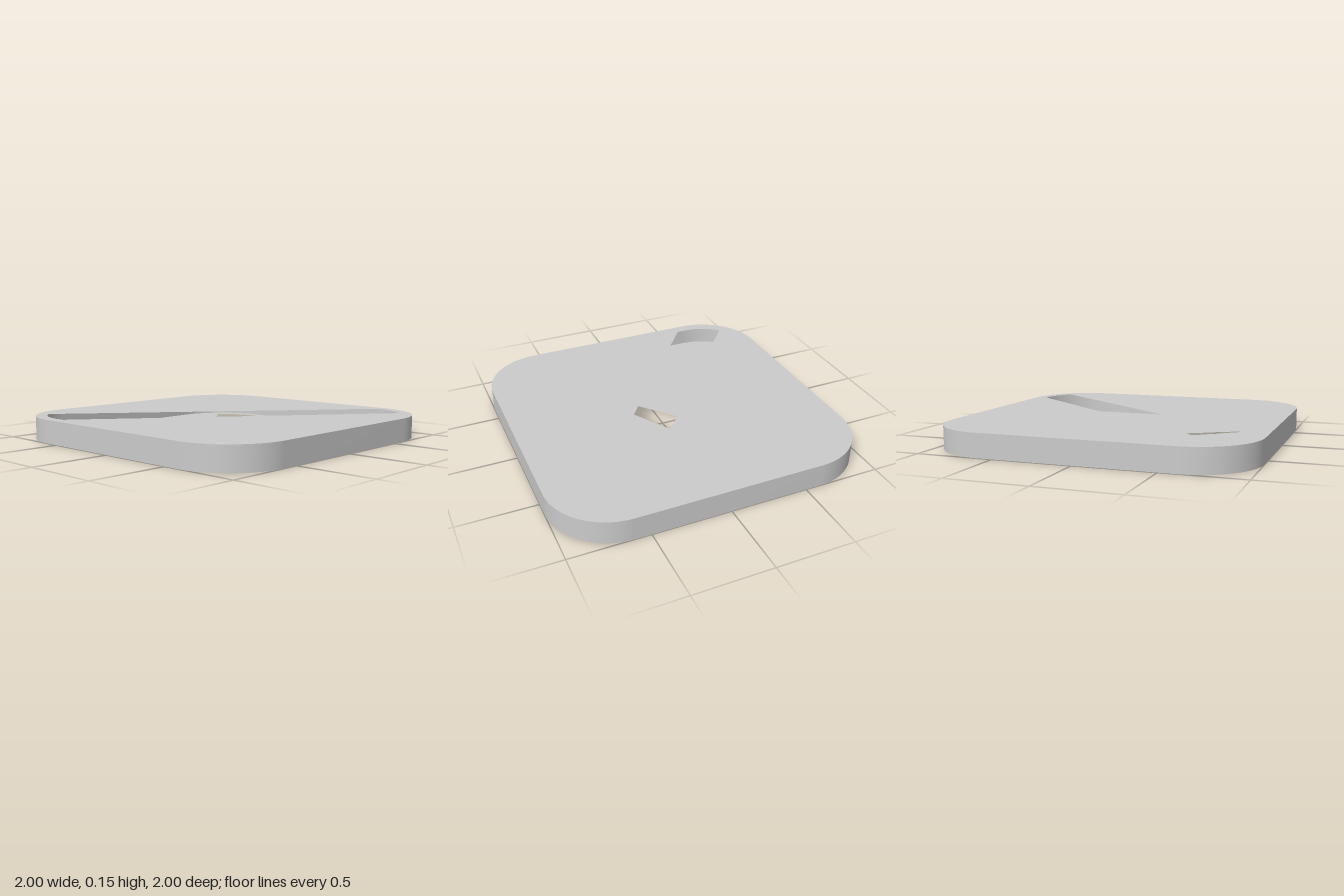
import * as THREE from 'three';

const H = 0.15;       // plate height
const R = 0.4;        // outer corner radius
const C = 1 - R;      // corner centre offset
const r = R - 0.075;  // radius of the curved slot ends, concentric with the corners
const PI = Math.PI;

function roundedSquare() {
  const s = new THREE.Shape();
  [[1, 1], [-1, 1], [-1, -1], [1, -1]].forEach(([sx, sy], i) =>
    s.absarc(sx * C, sy * C, R, i * PI / 2, (i + 1) * PI / 2, false));
  s.closePath();
  return s;
}

// Flat sheet with one slot cut through it
function sheet(slot, turn, y, mat, name) {
  const shape = roundedSquare();
  shape.holes.push(slot);
  const geo = new THREE.ShapeGeometry(shape, 16);
  geo.rotateX(turn);
  geo.translate(0, y, 0);
  const mesh = new THREE.Mesh(geo, mat);
  mesh.name = name;
  return mesh;
}

// Smooth upright band following the outline
function wall(mat) {
  const pts = roundedSquare().getPoints(16);
  if (pts[0].distanceTo(pts[pts.length - 1]) < 1e-6) pts.pop();
  const pos = [], idx = [], n = pts.length;
  pts.forEach((p, i) => {
    pos.push(p.x, 0, -p.y, p.x, H, -p.y);
    const a = 2 * i, b = 2 * ((i + 1) % n);
    idx.push(a, b, b + 1, a, b + 1, a + 1);
  });
  const geo = new THREE.BufferGeometry();
  geo.setAttribute('position', new THREE.Float32BufferAttribute(pos, 3));
  geo.setIndex(idx);
  geo.computeVertexNormals();
  const mesh = new THREE.Mesh(geo, mat);
  mesh.name = 'outerWall';
  return mesh;
}

export function createModel() {
  const mat = new THREE.MeshStandardMaterial({ color: 0xcccccc, side: THREE.DoubleSide });
  const group = new THREE.Group();
  group.name = 'slottedHollowPlate';

  // Long diagonal slot in the top, both ends curved
  const topSlot = new THREE.Path();
  topSlot.absarc(-C, -C, r, PI + 0.742, 1.5 * PI, false);
  topSlot.lineTo(-0.53, -C - r);
  topSlot.absarc(C, C, r, 0.76, PI / 2 + 0.03, false);
  topSlot.closePath();

  // Wedge slot in the bottom, along the other diagonal, tapering to a point
  const bottomSlot = new THREE.Path();
  bottomSlot.absarc(-C, -C, r, PI + 0.72, 1.5 * PI, false);
  bottomSlot.lineTo(-0.53, -C - r);
  bottomSlot.lineTo(0.5, 0.77);
  bottomSlot.closePath();

  group.add(
    sheet(topSlot, -PI / 2, H, mat, 'topSheet'),
    sheet(bottomSlot, PI / 2, 0, mat, 'bottomSheet'),
    wall(mat),
  );
  return group;
}
